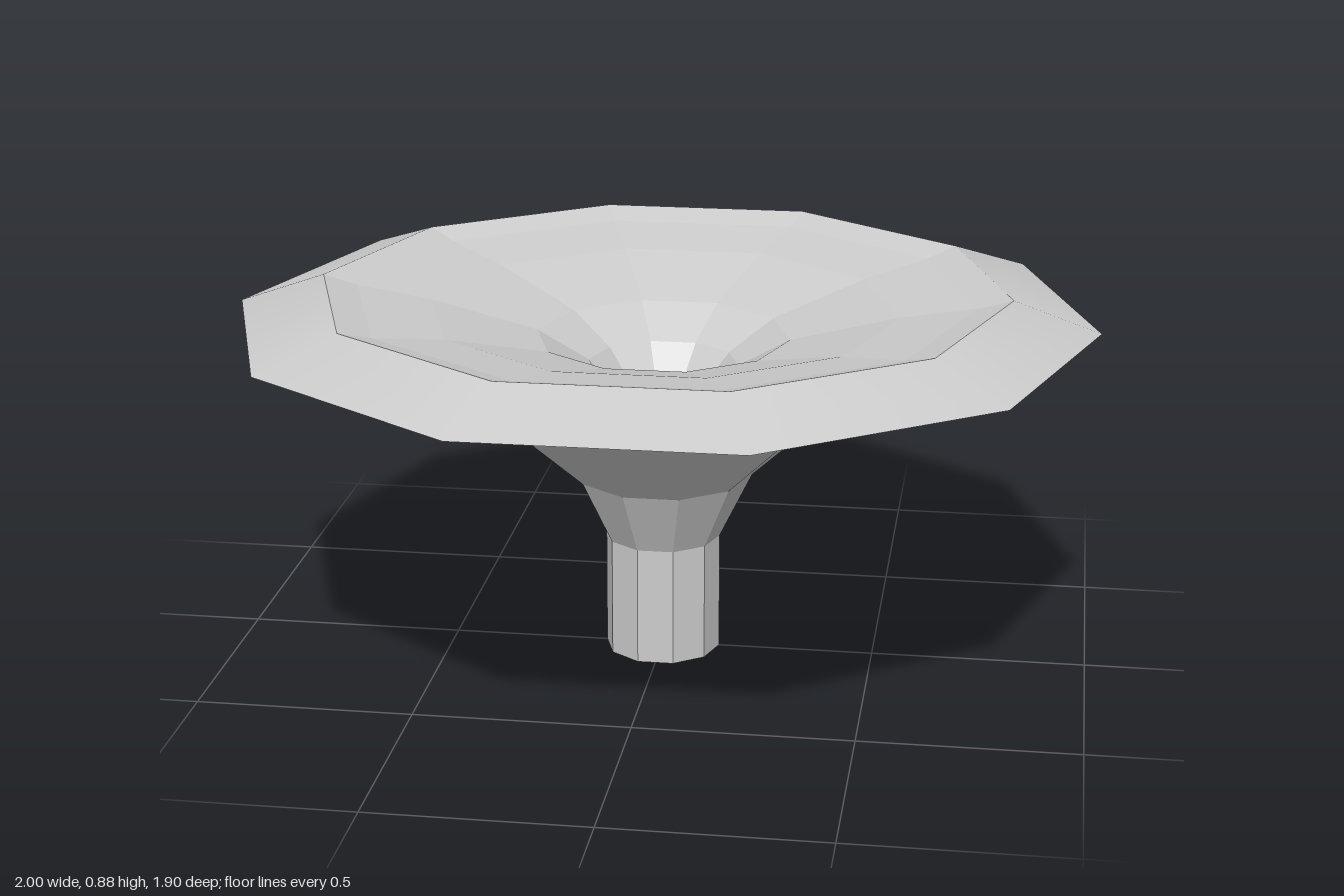
import * as THREE from 'three';

const SIDES = 10;

// Ten-sided surface of revolution with corners on the x axis; profile is [radius, y]
function turned(name, profile, flatShading = true) {
  const points = profile.map(([r, y]) => new THREE.Vector2(r, y));
  const geometry = new THREE.LatheGeometry(points, SIDES, Math.PI / 2);
  const material = new THREE.MeshStandardMaterial({ color: 0xcccccc, flatShading });
  const mesh = new THREE.Mesh(geometry, material);
  mesh.name = name;
  return mesh;
}

export function createModel() {
  const group = new THREE.Group();
  group.name = 'flaredFunnel';
  group.add(
    // Straight foot, closed underneath
    turned('stem', [[0, 0], [0.135, 0], [0.135, 0.28]]),
    // Outside of the flare, opening in three steps
    turned('flareUnderside', [[0.135, 0.28], [0.21, 0.435], [0.46, 0.66], [1, 0.81]]),
    // Sloping lip around the top
    turned('rim', [[1, 0.81], [0.8, 0.88]], false),
    // Shallow dish that steepens towards the throat
    turned('dish', [[0.8, 0.88], [0.72, 0.858], [0.545, 0.83], [0.295, 0.767], [0.175, 0.7], [0.1, 0.62]]),
    // Flat floor of the throat
    turned('throatFloor', [[0.1, 0.62], [0, 0.62]])
  );
  return group;
}
